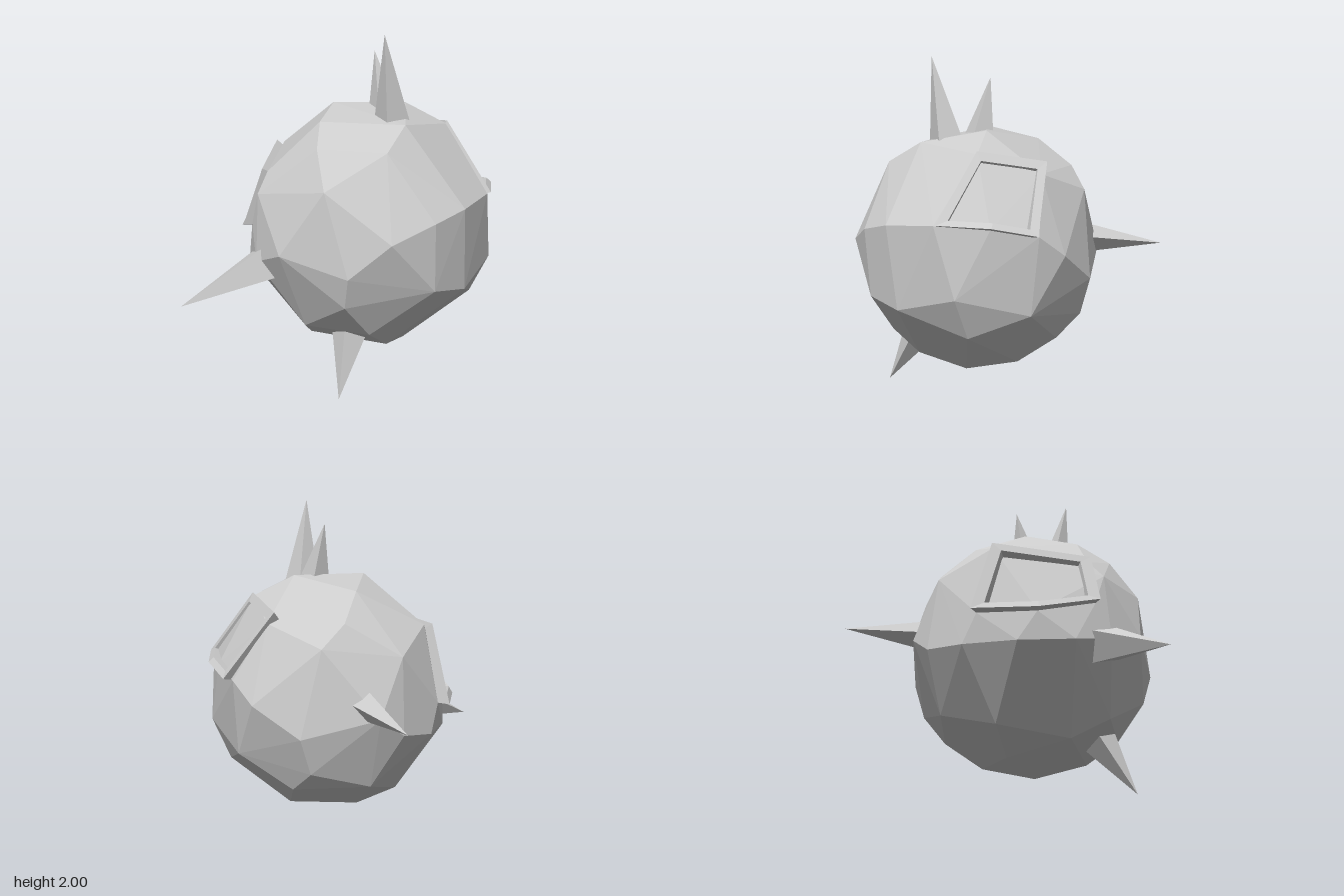
import * as THREE from 'three';
import { ConvexGeometry } from 'three/addons/geometries/ConvexGeometry.js';

const V = (x, y, z) => new THREE.Vector3(x, y, z);
const CENTER = V(0.06, 0.88, 0.1);
const RADIUS = 0.735;

const material = new THREE.MeshStandardMaterial({ color: 0xcccccc, flatShading: true });
const thinMaterial = new THREE.MeshStandardMaterial({ color: 0xcccccc, flatShading: true, side: THREE.DoubleSide });

// Corners of the two raised window frames, relative to the body centre
const LEFT_FRAME = [V(0.72, 0.22, -0.02), V(0.43, 0.6, -0.15), V(0.25, 0.54, -0.5), V(0.54, 0.16, -0.54), V(0.67, 0.21, -0.32)];
const RIGHT_FRAME = [V(-0.63, 0.43, -0.15), V(-0.51, 0.37, 0.4), V(-0.61, 0.05, 0.45), V(-0.76, -0.05, 0.12), V(-0.74, -0.03, -0.25)];

const middle = (points) => points.reduce((sum, p) => sum.add(p), V(0, 0, 0)).divideScalar(points.length);

// Faceted ball: each [angle, z] repeats every quarter turn round the z axis
function bodyGeometry() {
  const rings = [
    [107, 0], [75, -0.12], [54, -0.15], [107, 0.31], [66, 0.25], [65, 0.47],
    [106, 0.5], [100, 0.66], [107, -0.31], [107, -0.53], [58, -0.48], [95, -0.64],
  ];
  const points = [V(0.09, -0.14, 0.71), V(0.08, -0.14, -0.71)];
  for (const [angle, z] of rings) {
    const r = Math.sqrt(RADIUS * RADIUS - z * z);
    for (let k = 0; k < 4; k++) {
      const a = THREE.MathUtils.degToRad(angle + 90 * k);
      points.push(V(r * Math.cos(a), r * Math.sin(a), z));
    }
  }
  // Flatten the ball behind each frame so that its pane is recessed
  const frames = [LEFT_FRAME, RIGHT_FRAME];
  const kept = points.filter((p) => frames.every((f) => p.distanceTo(middle(f)) > 0.26));
  for (const f of frames) for (const p of f) kept.push(p.clone().setLength(0.71));
  return new ConvexGeometry(kept);
}

// Frame swept round its corners: outer wall, rim and inner wall
function frameGeometry(corners) {
  const c = middle(corners);
  const loops = corners.map((p) => {
    const inner = p.clone().lerp(c, 0.2);
    const sink = (q, d) => q.clone().setLength(q.length() - d);
    return [sink(p, 0.1), p, inner, sink(inner, 0.08)];
  });
  const positions = [];
  loops.forEach((a, i) => {
    const b = loops[(i + 1) % loops.length];
    for (let j = 0; j < 3; j++) {
      for (const p of [a[j], b[j], b[j + 1], a[j], b[j + 1], a[j + 1]]) positions.push(p.x, p.y, p.z);
    }
  });
  const geometry = new THREE.BufferGeometry();
  geometry.setAttribute('position', new THREE.Float32BufferAttribute(positions, 3));
  geometry.computeVertexNormals();
  return geometry;
}

// Four-sided spike from a base centre to a tip
function spike(name, base, tip, radius, twist) {
  const axis = tip.clone().sub(base);
  const geometry = new THREE.ConeGeometry(radius, axis.length(), 4, 1);
  geometry.rotateY(twist);
  geometry.translate(0, axis.length() / 2, 0);
  const mesh = new THREE.Mesh(geometry, material);
  mesh.name = name;
  mesh.position.copy(base);
  mesh.quaternion.setFromUnitVectors(V(0, 1, 0), axis.normalize());
  return mesh;
}

export function createModel() {
  const model = new THREE.Group();
  model.name = 'spikedBall';

  const body = new THREE.Mesh(bodyGeometry(), material);
  body.name = 'body';
  body.position.copy(CENTER);
  model.add(body);

  for (const [name, corners] of [['leftWindowFrame', LEFT_FRAME], ['rightWindowFrame', RIGHT_FRAME]]) {
    const frame = new THREE.Mesh(frameGeometry(corners), thinMaterial);
    frame.name = name;
    frame.position.copy(CENTER);
    model.add(frame);
  }

  model.add(
    spike('tallTopSpike', V(0.235, 1.48, 0.23), V(0.215, 2, 0.33), 0.11, 0),
    spike('shortTopSpike', V(0.14, 1.52, 0.07), V(0.07, 1.88, 0.02), 0.095, 0),
    spike('frontSpike', V(-0.42, 0.71, 0.55), V(-0.79, 0.53, 0.9), 0.13, 0.3),
    spike('bottomSpike', V(0.06, 0.32, 0.5), V(0.06, 0, 0.7), 0.1, 0),
    spike('backSpike', V(-0.21, 0.92, -0.5), V(-0.46, 0.87, -0.9), 0.085, 0.4),
  );
  return model;
}
